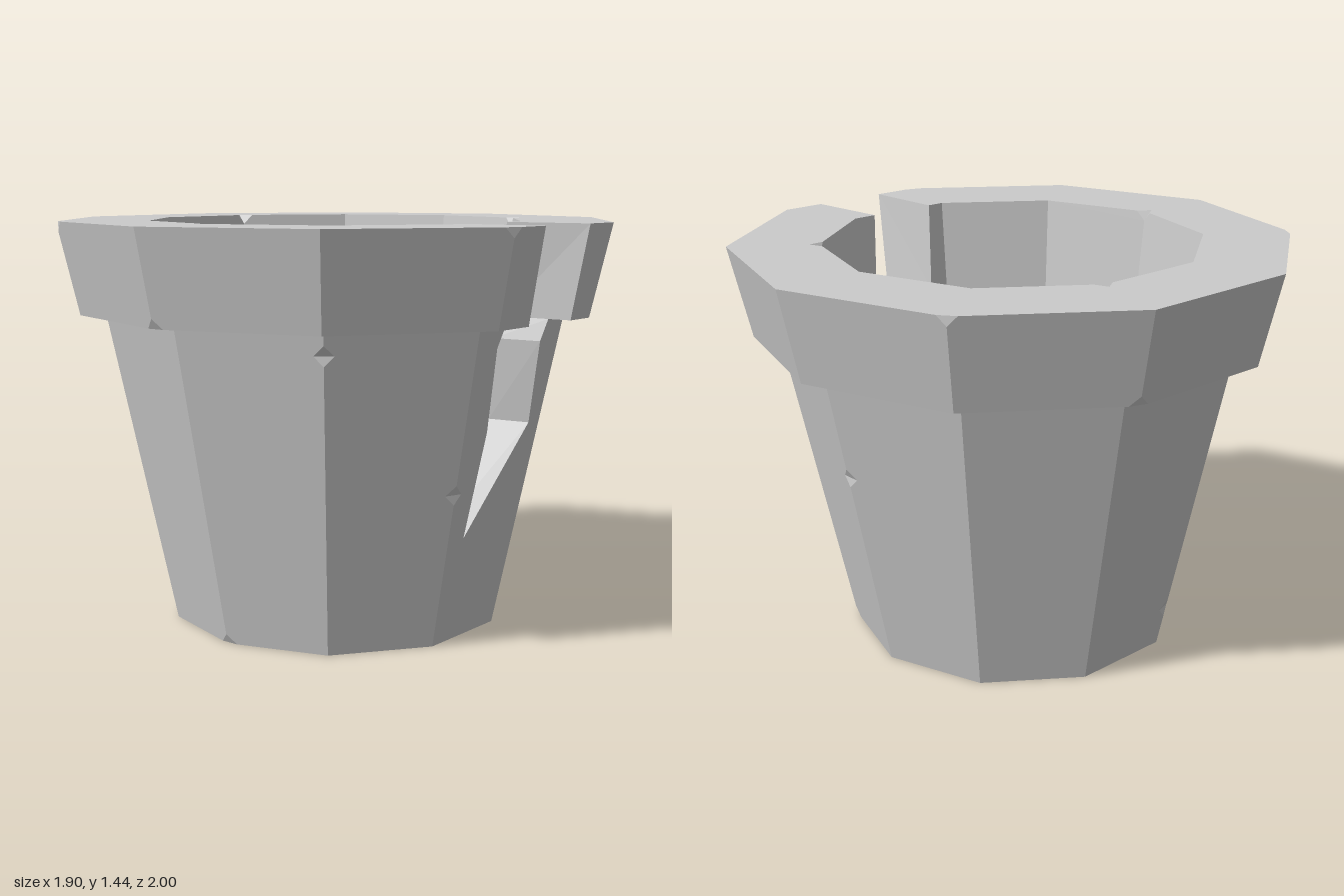
import * as THREE from 'three';

const SIDES = 10, CHIP = 0.035;
const V = (x, y, z) => new THREE.Vector3(x, y, z);

// Pot profile [radius, height], from the middle of the base round to the inner floor
const PROFILE = [[0, 0], [0.6, 0], [0.835, 1.115], [0.925, 1.115], [1, 1.44], [0.68, 1.44], [0.53, 0.14], [0, 0.14]];
const BANDS = ['base', 'outerWall', 'rimUnderside', 'rim', 'rimTop', 'innerWall', 'innerFloor'];

// Chips at profile corners "edge,corner" and along the wall edges {edge: height}
const CORNER_CHIPS = new Set(['0,1', '4,1', '0,3', '7,3', '2,4', '6,4', '9,4', '0,5', '4,5', '7,5']);
const WALL_CHIPS = { 1: 1.04, 2: 0.55, 5: 0.74, 8: 0.15 };

// Crack through the side facing +x: heights, and z of its edges outside and inside
const CRACK_SIDE = 2;
const LEVELS = [1.44, 1.115, 1.115, 1.04, 0.75, 0.38];
const BACK = { out: [-0.15, -0.16, -0.16, -0.134, -0.166, 0.118], inn: [-0.12, -0.15, -0.15, -0.118, -0.145, 0.1] };
const FRONT = { out: [0.134, 0.107, 0.107, 0.134, 0.097, 0.118], inn: [0.145, 0.12, 0.12, 0.14, 0.095, 0.1] };

// Point on vertical edge i, a fraction t along profile band k
function at(i, k, t = 0) {
  const a = PROFILE[k], b = PROFILE[Math.min(k + 1, PROFILE.length - 1)];
  const r = a[0] + (b[0] - a[0]) * t, ang = (i * 2 * Math.PI) / SIDES;
  return V(r * Math.sin(ang), a[1] + (b[1] - a[1]) * t, r * Math.cos(ang));
}
const step = (p, q, d = CHIP) => p.clone().add(q.clone().sub(p).setLength(d));
const seam = (i, j, k, t) => step(at(i, k, t), at(j, k, t));
const chipped = (i, k) => CORNER_CHIPS.has(`${i % SIDES},${k}`);
const wallChip = (i) => (WALL_CHIPS[i % SIDES] ?? 0) / PROFILE[2][1];
const DT = CHIP / 1.14;

// Outline of band k along edge i, as seen by the side that reaches to edge j
function edge(i, j, k) {
  const pts = [], a = at(i, k), b = at(i, k + 1), t = wallChip(i);
  if (chipped(i, k)) pts.push(seam(i, j, k, 0), step(a, b));
  else pts.push(a);
  if (k === 1 && t) pts.push(at(i, k, t - DT), seam(i, j, k, t), at(i, k, t + DT));
  if (chipped(i, k + 1)) pts.push(step(b, a), seam(i, j, k + 1, 0));
  else pts.push(b);
  return pts;
}

// Triangulate a flat polygon, counter-clockwise from outside
function fill(out, pts) {
  const n = V(0, 0, 0);
  pts.forEach((p, i) => n.add(p.clone().cross(pts[(i + 1) % pts.length])));
  n.normalize();
  const u = (Math.abs(n.y) > 0.9 ? V(1, 0, 0) : V(0, 1, 0)).cross(n).normalize();
  const w = n.clone().cross(u);
  const flat = pts.map((p) => new THREE.Vector2(p.dot(u), p.dot(w)));
  for (const tri of THREE.ShapeUtils.triangulateShape(flat, [])) out.push(...tri.map((i) => pts[i]));
}

// Crack corner points on the outer and inner surfaces
const apothem = Math.cos(Math.PI / SIDES);
function radius(y, k) {
  const [r0, y0] = PROFILE[k], [r1, y1] = PROFILE[k + 1];
  return apothem * (r0 + ((r1 - r0) * (y - y0)) / (y1 - y0));
}
const outer = (s) => LEVELS.map((y, l) => V(radius(y, l < 2 ? 3 : 1), y, s.out[l]));
const inner = (s) => LEVELS.map((y, l) => V(radius(y, 5), y, s.inn[l]));

// Panels of one band on the cracked side
function crackedPanels(k, a, b) {
  const bo = outer(BACK), fo = outer(FRONT), bi = inner(BACK), fi = inner(FRONT);
  if (k === 1) return [[...b, ...bo.slice(2), ...fo.slice(2, 5).reverse(), ...a]];
  if (k === 5) return [[...b, ...a, ...fi.filter((_, l) => l !== 2), ...bi.slice(0, 5).filter((_, l) => l !== 2).reverse()]];
  const ends = { 2: [[bo[2], bo[1]], [fo[2], fo[1]]], 3: [[bo[1], bo[0]], [fo[1], fo[0]]], 4: [[bo[0], bi[0]], [fo[0], fi[0]]] }[k];
  if (!ends) return [[...b, ...a]];
  return [[...b, ends[0][1], ends[0][0]], [...ends[1], ...a]];
}

export function createModel() {
  const group = new THREE.Group();
  group.name = 'crackedPot';
  const material = new THREE.MeshStandardMaterial({ color: 0xcccccc, flatShading: true, side: THREE.DoubleSide });
  const add = (name, pts) => {
    const g = new THREE.BufferGeometry().setFromPoints(pts);
    g.computeVertexNormals();
    const mesh = new THREE.Mesh(g, material);
    mesh.name = name;
    group.add(mesh);
  };

  // Ten-sided bands
  BANDS.forEach((name, k) => {
    const pts = [];
    for (let i = 0; i < SIDES; i++) {
      const a = edge(i, i + 1, k).reverse(), b = edge(i + 1, i, k);
      const panels = i === CRACK_SIDE ? crackedPanels(k, a, b) : [[...b, ...a]];
      panels.forEach((p) => fill(pts, p));
    }
    add(name, pts);
  });

  // Broken faces inside the crack
  const crack = [];
  for (const [s, back] of [[BACK, true], [FRONT, false]]) {
    const o = outer(s), n = inner(s);
    for (let l = 0; l < LEVELS.length - 1; l++) {
      const tris = [o[l], n[l], n[l + 1], o[l], n[l + 1], o[l + 1]];
      crack.push(...(back ? tris : tris.reverse()));
    }
  }
  add('crackFaces', crack);

  // Small V-shaped chips
  const chips = [];
  const chip = (d, r, u, l, concave) => chips.push(...(concave ? [d, r, u, d, u, l] : [d, r, l, r, u, l]));
  for (const key of CORNER_CHIPS) {
    const [i, k] = key.split(',').map(Number), p = at(i, k);
    chip(step(p, at(i, k - 1)), seam(i, i + 1, k, 0), step(p, at(i, k + 1)), seam(i, i - 1, k, 0), k === 5);
  }
  for (const i of Object.keys(WALL_CHIPS).map(Number)) {
    const t = wallChip(i);
    chip(at(i, 1, t - DT), seam(i, i + 1, 1, t), at(i, 1, t + DT), seam(i, i - 1, 1, t), false);
  }
  add('chips', chips);
  return group;
}
